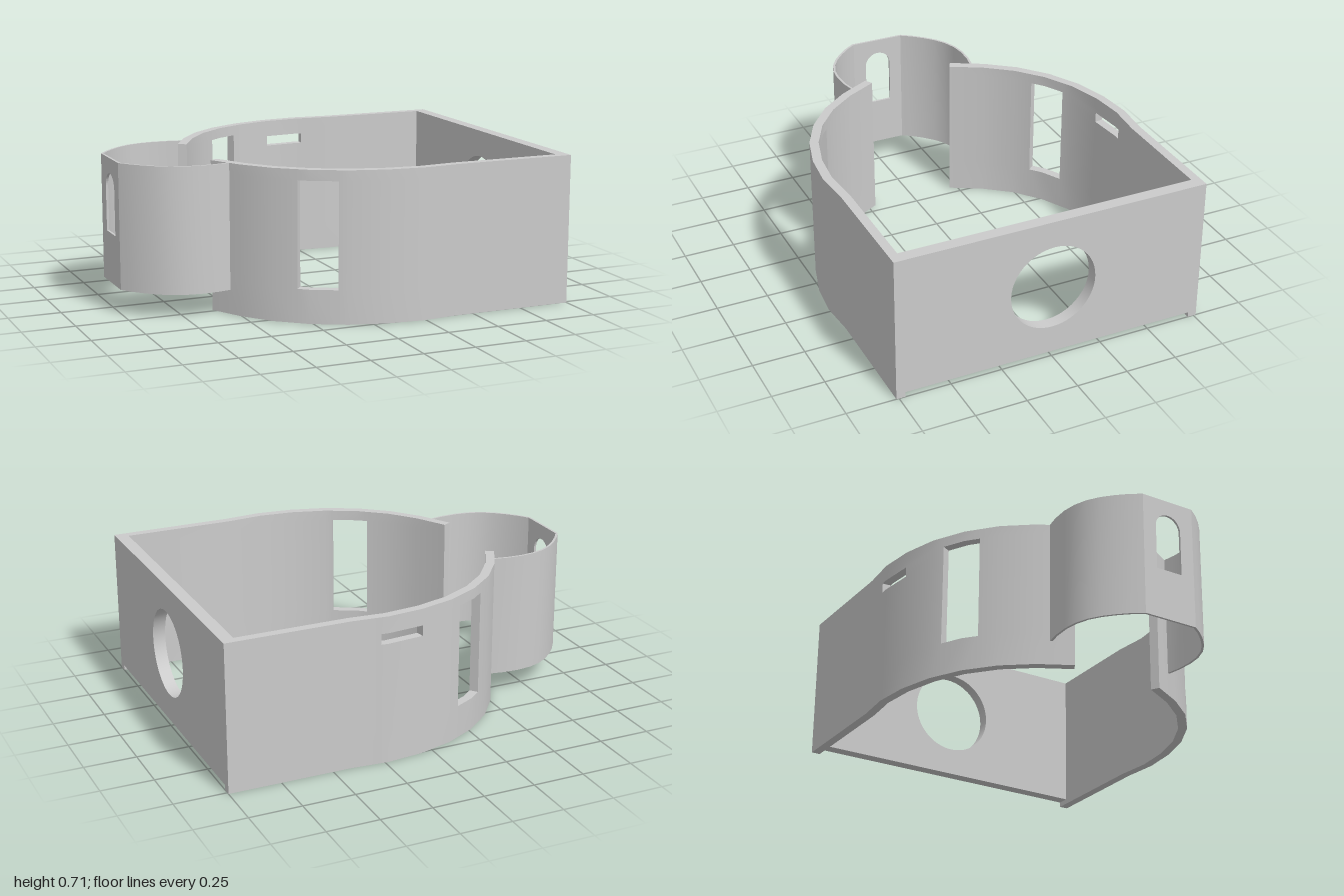
import * as THREE from 'three';
import { mergeVertices, toCreasedNormals } from 'three/addons/utils/BufferGeometryUtils.js';

const TOP = 0.71;
const material = new THREE.MeshStandardMaterial({ color: 0xcccccc, side: THREE.DoubleSide });

function addMesh(parent, name, geometry) {
  const mesh = new THREE.Mesh(geometry, material);
  mesh.name = name;
  parent.add(mesh);
  return mesh;
}

// Insert points on a plan path [x, z] at the given x values (x runs downward)
function cutPath(path, xs) {
  const out = path.map((p) => p.slice());
  for (const x of xs) {
    const i = out.findIndex((p) => p[0] <= x);
    const [a, b] = [out[i - 1], out[i]];
    const t = (x - a[0]) / (b[0] - a[0]);
    if (t < 0.999) out.splice(i, 0, [x, a[1] + t * (b[1] - a[1])]);
  }
  return out;
}

// Upright curved wall with rectangular openings {x0, x1, y0, y1}.
// side = -1 keeps the path as drawn, side = 1 mirrors it to +z.
function curvedWall(path, thickness, y0, y1, side, holes = []) {
  const outer = cutPath(path, holes.flatMap((h) => [h.x0, h.x1]));
  const last = outer.length - 1;
  const inner = outer.map((p, i) => {
    const a = outer[Math.max(i - 1, 0)], b = outer[Math.min(i + 1, last)];
    const dx = b[0] - a[0], dz = b[1] - a[1], len = Math.hypot(dx, dz);
    return [p[0] + (thickness * dz) / len, p[1] - (thickness * dx) / len];
  });
  const ys = [y0, y1, ...holes.flatMap((h) => [h.y0, h.y1])].sort((a, b) => a - b);

  const solid = (i, j) => {
    if (i < 0 || j < 0 || i >= last || j >= ys.length - 1) return false;
    const x = (outer[i][0] + outer[i + 1][0]) / 2, y = (ys[j] + ys[j + 1]) / 2;
    return !holes.some((h) => x > h.x0 && x < h.x1 && y > h.y0 && y < h.y1);
  };

  const positions = [];
  const quad = (a, b, c, d) => {
    const order = side < 0 ? [a, b, c, a, c, d] : [a, c, b, a, d, c];
    for (const p of order) positions.push(p[0], p[1], -side * p[2]);
  };
  const O = (i, j) => [outer[i][0], ys[j], outer[i][1]];
  const I = (i, j) => [inner[i][0], ys[j], inner[i][1]];

  for (let i = 0; i < last; i++) {
    for (let j = 0; j < ys.length - 1; j++) {
      if (!solid(i, j)) continue;
      const n = i + 1, u = j + 1;
      quad(O(i, j), O(n, j), O(n, u), O(i, u));
      quad(I(i, j), I(i, u), I(n, u), I(n, j));
      if (!solid(i, u)) quad(O(i, u), O(n, u), I(n, u), I(i, u));
      if (!solid(i, j - 1)) quad(O(i, j), I(i, j), I(n, j), O(n, j));
      if (!solid(i - 1, j)) quad(O(i, j), O(i, u), I(i, u), I(i, j));
      if (!solid(n, j)) quad(O(n, j), I(n, j), I(n, u), O(n, u));
    }
  }
  const g = new THREE.BufferGeometry();
  g.setAttribute('position', new THREE.Float32BufferAttribute(positions, 3));
  return toCreasedNormals(mergeVertices(g, 1e-5), 0.5);
}

// Flat upright panel in the z-y plane with one hole, starting at x and growing to +x
function panel(halfWidth, y0, y1, x, thickness, hole) {
  const shape = new THREE.Shape();
  shape.moveTo(-halfWidth, y0).lineTo(halfWidth, y0).lineTo(halfWidth, y1).lineTo(-halfWidth, y1).closePath();
  shape.holes.push(hole);
  const g = new THREE.ExtrudeGeometry(shape, { depth: thickness, bevelEnabled: false, curveSegments: 24 });
  g.rotateY(Math.PI / 2).translate(x, 0, 0);
  return toCreasedNormals(g, 0.5);
}

export function createModel() {
  const group = new THREE.Group();
  group.name = 'housing';

  // Side walls: straight, then curving in to an open mouth
  const wallPath = [
    [1, -0.763], [0.41, -0.763], [0.235, -0.778], [0.06, -0.76], [-0.11, -0.712],
    [-0.265, -0.632], [-0.4, -0.52], [-0.505, -0.385], [-0.588, -0.232],
  ];
  const smallSlot = { x0: 0.06, x1: 0.27, y0: 0.58, y1: 0.63 };
  for (const side of [-1, 1]) {
    const shift = side < 0 ? -0.015 : 0;
    const holes = [{ x0: -0.31 + shift, x1: -0.15 + shift, y0: 0.16, y1: 0.66 }];
    if (side < 0) holes.push(smallSlot);
    addMesh(group, side < 0 ? 'backSideWall' : 'frontSideWall',
      curvedWall(wallPath, 0.043, 0, TOP, side, holes));
  }

  // End wall with a round port, raised slightly off the ground
  const port = new THREE.Path();
  port.absarc(0, 0.37, 0.21, 0, Math.PI * 2, true);
  addMesh(group, 'endWall', panel(0.72, 0.025, TOP, 0.94, 0.06, port));

  // Thin bowed shield around the mouth
  const shieldPath = [
    [-0.533, -0.33], [-0.6, -0.343], [-0.68, -0.347], [-0.75, -0.338], [-0.815, -0.315],
    [-0.87, -0.28], [-0.92, -0.235], [-0.965, -0.185], [-1, -0.135],
  ];
  for (const side of [-1, 1]) {
    addMesh(group, side < 0 ? 'backShieldCurve' : 'frontShieldCurve',
      curvedWall(shieldPath, 0.011, 0.115, TOP, side));
  }

  // Flat shield face with an arched window
  const arch = new THREE.Path();
  arch.moveTo(-0.067, 0.355).lineTo(-0.067, 0.57);
  arch.absarc(0, 0.57, 0.067, Math.PI, 0, true);
  arch.lineTo(0.067, 0.355).closePath();
  addMesh(group, 'shieldFace', panel(0.135, 0.115, TOP, -1, 0.011, arch));

  return group;
}
